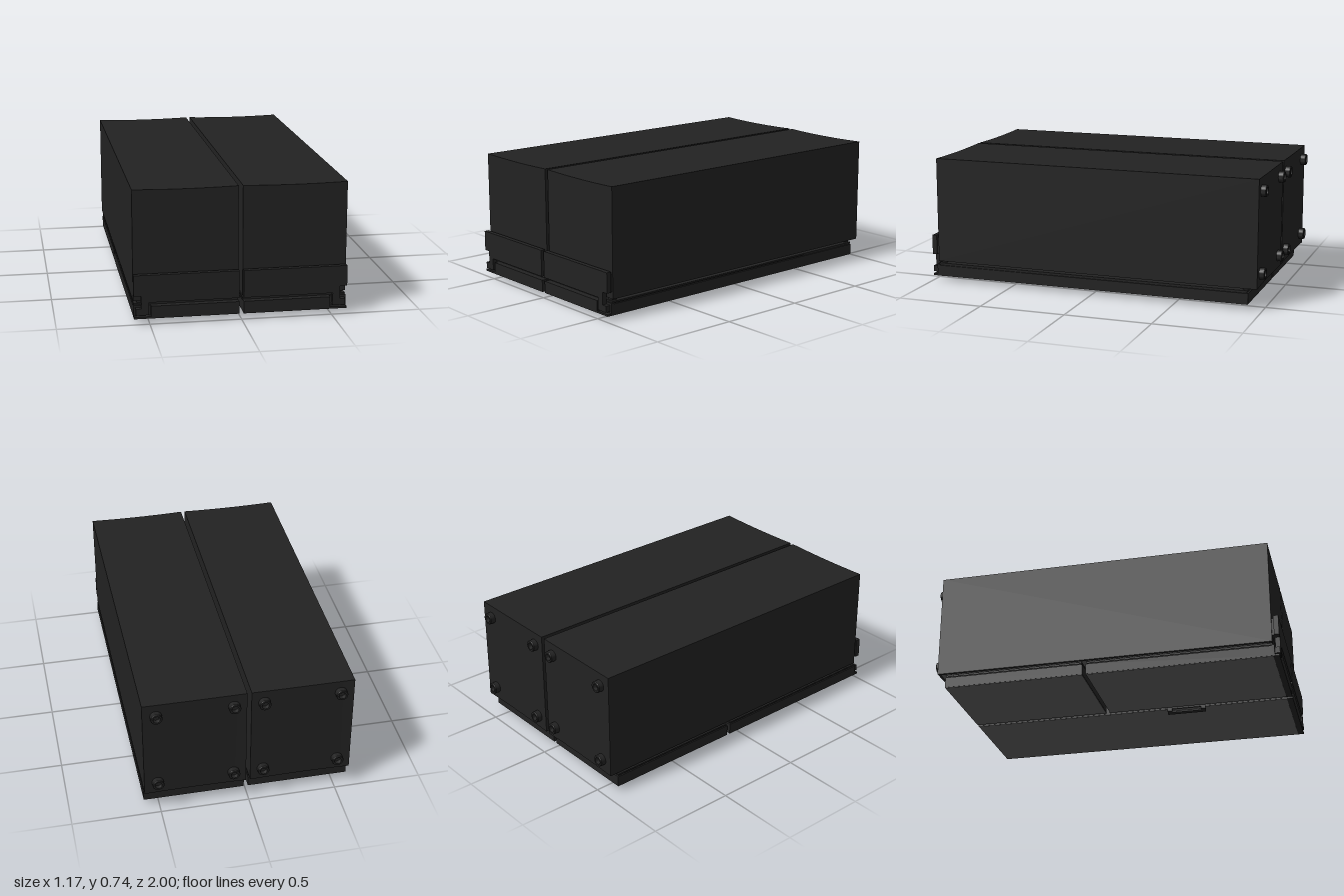
import * as THREE from 'three';
import { toCreasedNormals } from 'three/addons/utils/BufferGeometryUtils.js';

const dark = new THREE.MeshStandardMaterial({ color: 0x222222 });
const grey = new THREE.MeshStandardMaterial({ color: 0x5c5c5c });

function add(parent, name, geometry, material = dark) {
  const mesh = new THREE.Mesh(geometry, material);
  mesh.name = name;
  parent.add(mesh);
  return mesh;
}

// Box given by its lower and upper corners
function block(parent, name, [x0, y0, z0], [x1, y1, z1], material) {
  const g = new THREE.BoxGeometry(x1 - x0, y1 - y0, z1 - z0);
  g.translate((x0 + x1) / 2, (y0 + y1) / 2, (z0 + z1) / 2);
  return add(parent, name, g, material);
}

// Case body whose top and back are very slightly dished across the width
function caseGeometry() {
  const w = 0.573, h = 0.615, d = 1.93;
  const g = new THREE.BoxGeometry(w, h, d, 12, 1, 1);
  const p = g.attributes.position;
  for (let i = 0; i < p.count; i++) {
    const dip = 0.005 * (1 - (2 * p.getX(i) / w) ** 2);
    if (p.getY(i) > 0) p.setY(i, p.getY(i) - dip);
    if (p.getZ(i) < 0) p.setZ(i, p.getZ(i) + dip);
  }
  g.translate(0.2985, 0.4285, -0.005);
  return toCreasedNormals(g, 0.5);
}

// Round foot with a recessed centre, pointing backwards
function footGeometry() {
  const profile = [[0.033, 0], [0.033, 0.032], [0.03, 0.036], [0.02, 0.036], [0.017, 0.016], [0, 0.016]];
  const g = new THREE.LatheGeometry(profile.map(([r, y]) => new THREE.Vector2(r, y)), 24);
  g.rotateX(-Math.PI / 2);
  return toCreasedNormals(g, 0.6);
}

function plate(parent, name, points, depth, z) {
  const shape = new THREE.Shape(points.map(([x, y]) => new THREE.Vector2(x, y)));
  const g = new THREE.ExtrudeGeometry(shape, { depth, bevelEnabled: false });
  return add(parent, name, g.translate(0, 0, z));
}

// Mirror a finished geometry in x, reversing the winding
function mirrorX(g) {
  const m = g.index ? g.toNonIndexed() : g.clone();
  m.scale(-1, 1, 1);
  for (const attribute of Object.values(m.attributes)) {
    const n = attribute.itemSize;
    for (let i = 0; i < attribute.count; i += 3) {
      for (let k = 0; k < n; k++) {
        const a = attribute.getComponent(i + 1, k);
        attribute.setComponent(i + 1, k, attribute.getComponent(i + 2, k));
        attribute.setComponent(i + 2, k, a);
      }
    }
  }
  return m;
}

// One module, built on the +x side; traySpans lists the [back, front] of each tray
function buildModule(name, traySpans) {
  const unit = new THREE.Group();
  unit.name = name;
  add(unit, 'caseBody', caseGeometry());
  block(unit, 'caseUnderside', [0.03, 0.119, -0.95], [0.567, 0.122, 0.94], grey);

  for (const x of [0.083, 0.51]) {
    for (const y of [0.195, 0.66]) {
      add(unit, 'rearFoot', footGeometry()).position.set(x, y, -0.964);
    }
  }

  // Trays with stepped rims and a pale floor
  for (const [back, front] of traySpans) {
    block(unit, 'tray', [0.012, 0.033, back], [0.585, 0.094, front]);
    block(unit, 'trayFloor', [0.014, 0.03, back + 0.002], [0.583, 0.033, front - 0.002], grey);
    block(unit, 'trayNeck', [0.02, 0.094, back + 0.01], [0.577, 0.1, front - 0.01]);
    block(unit, 'trayRim', [0.014, 0.1, back + 0.004], [0.583, 0.109, front - 0.004]);
  }

  // Corner spacers holding the case above the trays
  for (const x of [0.02, 0.53]) {
    for (const z of [-0.915, 0.92]) {
      block(unit, 'spacer', [x, 0.105, z], [x + 0.035, 0.124, z + 0.03]);
    }
  }

  // Front panel with its hooked outer end
  plate(unit, 'frontPanel', [
    [0.012, 0.122], [0.505, 0.122], [0.505, 0.052], [0.575, 0.052], [0.575, 0.088],
    [0.545, 0.088], [0.545, 0.16], [0.585, 0.16], [0.585, 0.275], [0.012, 0.275],
  ], 0.028, 0.972);
  block(unit, 'frontPanelMount', [0.02, 0.16, 0.955], [0.577, 0.26, 0.975]);

  // Lower front panel cut back around the hook
  plate(unit, 'lowerPanel', [
    [0.012, 0.031], [0.585, 0.031], [0.585, 0.042], [0.492, 0.042], [0.492, 0.1], [0.012, 0.1],
  ], 0.04, 0.957);
  block(unit, 'hookCatch', [0.49, 0.04, 0.955], [0.585, 0.1, 0.971]);
  return unit;
}

// Bent wire-like pull under the seam
function buildHandle() {
  const handle = new THREE.Group();
  handle.name = 'pullHandle';
  const section = [[0.002, 0.06], [0.002, 0.014], [0.022, 0.003], [0.025, 0.01], [0.009, 0.019], [0.009, 0.06]];
  for (const z of [0.257, 0.457]) plate(handle, 'handleArm', section, 0.027, z);
  plate(handle, 'handleGrip', [[0.01, 0.0095], [0.024, 0], [0.026, 0.008], [0.012, 0.0165]], 0.227, 0.257);
  block(handle, 'handleMount', [0.002, 0.028, 0.257], [0.016, 0.06, 0.484]);
  return handle;
}

export function createModel() {
  const model = new THREE.Group();
  model.name = 'twinCases';
  model.add(buildModule('leftModule', [[-0.92, 0.965]]));

  // The right module mirrors the left one, with its tray in two lengths
  const right = buildModule('rightModule', [[-0.92, -0.11], [-0.09, 0.965]]);
  for (const part of right.children) {
    part.geometry = mirrorX(part.geometry);
    part.position.x *= -1;
  }
  model.add(right, buildHandle());
  return model;
}
